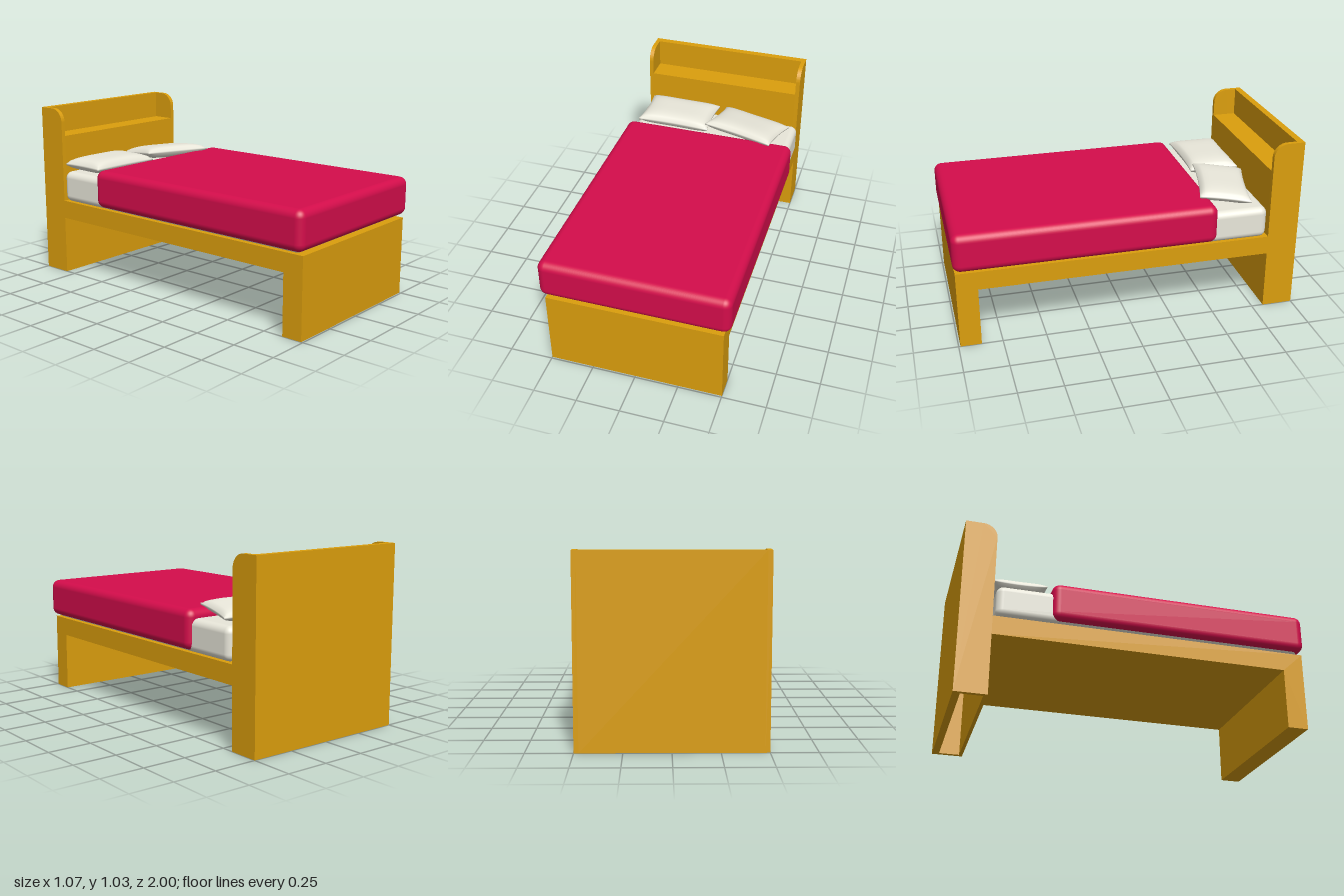
import * as THREE from 'three';
import { mergeVertices, toCreasedNormals } from 'three/addons/utils/BufferGeometryUtils.js';
import { RoundedBoxGeometry } from 'three/addons/geometries/RoundedBoxGeometry.js';

const paint = (color) => new THREE.MeshStandardMaterial({ color });

function add(parent, name, geometry, material, x = 0, y = 0, z = 0) {
  const mesh = new THREE.Mesh(geometry, material);
  mesh.name = name;
  mesh.position.set(x, y, z);
  parent.add(mesh);
  return mesh;
}

// Box given by its limits on each axis
function block(parent, name, material, [x0, x1], [y0, y1], [z0, z1], radius = 0) {
  const size = [x1 - x0, y1 - y0, z1 - z0];
  const geometry = radius
    ? new RoundedBoxGeometry(...size, 5, radius)
    : new THREE.BoxGeometry(...size);
  return add(parent, name, geometry, material, (x0 + x1) / 2, (y0 + y1) / 2, (z0 + z1) / 2);
}

// Side profile drawn in (z, y), extruded across the bed from xMax towards -x
function acrossBed(parent, name, material, shape, xMax, width) {
  const extruded = new THREE.ExtrudeGeometry(shape, { depth: width, bevelEnabled: false, curveSegments: 10 });
  const mesh = add(parent, name, toCreasedNormals(extruded, 0.6), material, xMax);
  mesh.rotation.y = -Math.PI / 2;
  return mesh;
}

// Cushion: a fine grid box, domed in the middle and thin at the pinched edges
function pillowGeometry(width, depth, height) {
  let g = new THREE.BoxGeometry(2, 2, 2, 28, 2, 20);
  const p = g.attributes.position;
  for (let i = 0; i < p.count; i++) {
    const u = p.getX(i), v = p.getZ(i), side = p.getY(i);
    const dome = Math.sqrt(Math.max(0, (1 - u ** 4) * (1 - v ** 4)));
    p.setXYZ(
      i,
      (width / 2) * u * (1 - 0.05 * (1 - v * v)),
      side * (height / 2) * (0.12 + 0.88 * dome),
      (depth / 2) * v * (1 - 0.07 * (1 - u * u))
    );
  }
  g.deleteAttribute('normal');
  g.deleteAttribute('uv');
  g = mergeVertices(g, 1e-4);
  g.computeVertexNormals();
  return g;
}

export function createModel() {
  const bed = new THREE.Group();
  bed.name = 'bed';
  const wood = paint(0xdb9e0d);
  const red = paint(0xd40d4b);
  const linen = paint(0xe9e7da);

  // Bed base: slab with a full-width foot panel
  const base = new THREE.Shape([
    [-0.82, 0.35], [0.87, 0.35], [0.87, 0], [0.99, 0], [0.99, 0.46], [-0.82, 0.46],
  ].map(([z, y]) => new THREE.Vector2(z, y)));
  acrossBed(bed, 'bedBase', wood, base, 0.5, 1);

  // Headboard: hollow case with an open shelf at the top
  const headboard = new THREE.Group();
  headboard.name = 'headboard';
  bed.add(headboard);
  const cheek = new THREE.Shape();
  cheek.moveTo(-1, 0);
  cheek.lineTo(-0.82, 0);
  cheek.lineTo(-0.82, 0.95);
  cheek.absarc(-0.9, 0.95, 0.08, 0, Math.PI / 2, false);
  cheek.lineTo(-1, 1.03);
  acrossBed(headboard, 'leftHeadboardSide', wood, cheek, 0.5, 0.025);
  acrossBed(headboard, 'rightHeadboardSide', wood, cheek, -0.475, 0.025);
  const inner = [-0.475, 0.475];
  block(headboard, 'headboardBack', wood, inner, [0, 1.03], [-1, -0.96]);
  block(headboard, 'headboardFront', wood, inner, [0, 0.84], [-0.84, -0.82]);
  block(headboard, 'headboardShelf', wood, inner, [0.84, 0.865], [-0.96, -0.82]);

  // Bedding
  block(bed, 'mattress', linen, [-0.51, 0.51], [0.463, 0.65], [-0.805, 0.975], 0.04);
  block(bed, 'blanket', red, [-0.535, 0.535], [0.475, 0.7], [-0.5, 1], 0.045);

  // Pillows: one flat, one turned and leaning on the blanket edge
  const left = add(bed, 'rightPillow', pillowGeometry(0.46, 0.3, 0.09), linen, -0.248, 0.69, -0.67);
  left.rotation.y = -0.02;
  const right = add(bed, 'leftPillow', pillowGeometry(0.45, 0.3, 0.08), linen, 0.215, 0.701, -0.625);
  right.rotation.set(-0.12, -0.23, -0.03, 'YXZ');

  return bed;
}
